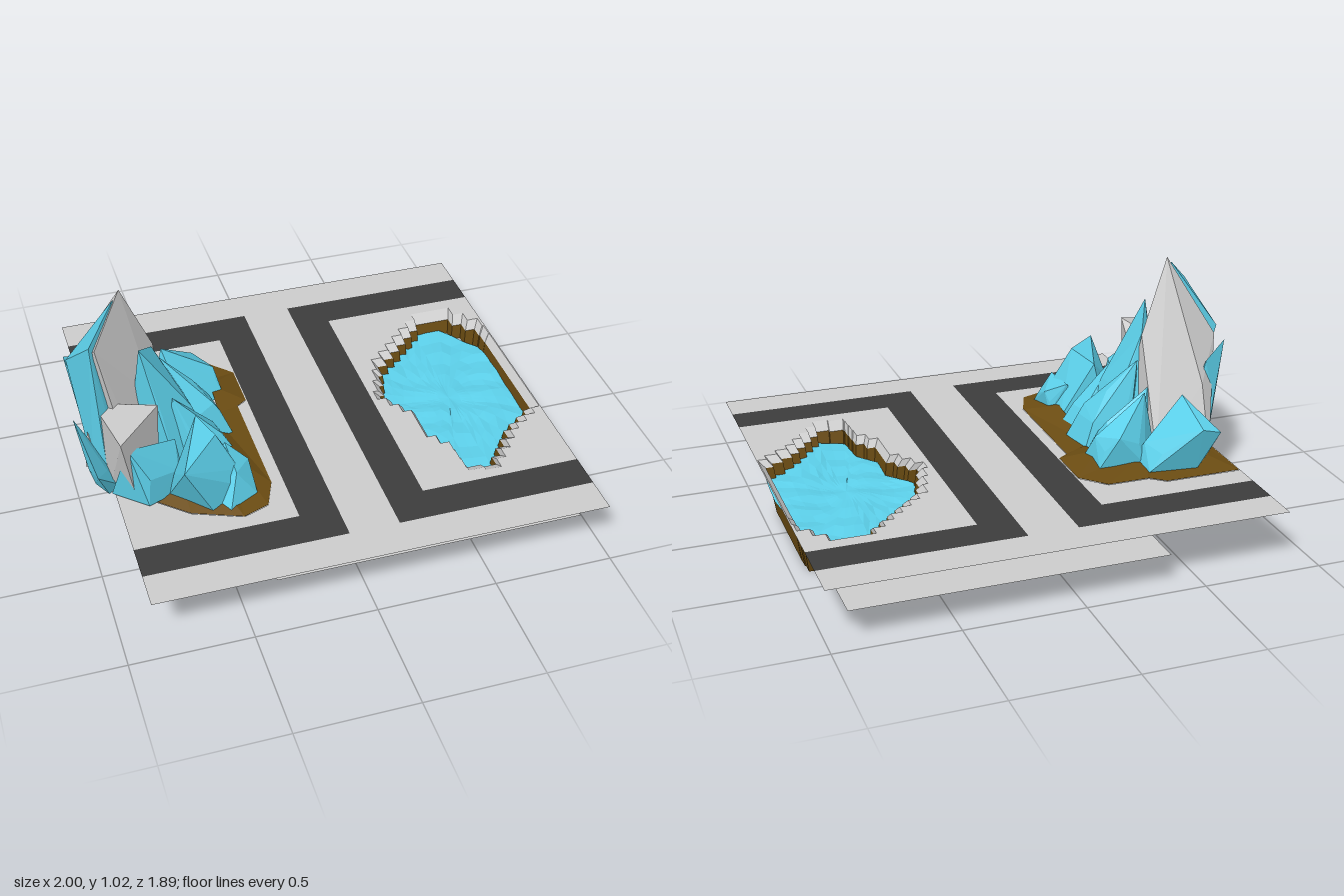
import * as THREE from 'three';
import { ConvexGeometry } from 'three/addons/geometries/ConvexGeometry.js';

const GROUND = 0.23;
const mat = (color) => new THREE.MeshStandardMaterial({ color, flatShading: true, side: THREE.DoubleSide });
const grey = mat(0xcccccc), dark = mat(0x3c3c3c), blue = mat(0x5cd0ea), brown = mat(0x6b4c12);

function add(group, name, geometry, material) {
  const mesh = new THREE.Mesh(geometry, material);
  mesh.name = name;
  group.add(mesh);
}

function namedGroup(name) {
  const g = new THREE.Group();
  g.name = name;
  return g;
}

// Flat polygon of [x, z] points at height y, with an optional hole
function sheet(points, y, hole) {
  const vec = (list) => list.map(([x, z]) => new THREE.Vector2(x, z));
  const shape = new THREE.Shape(vec(points));
  if (hole) shape.holes.push(new THREE.Path(vec(hole)));
  return new THREE.ShapeGeometry(shape).rotateX(Math.PI / 2).translate(0, y, 0);
}
const rect = (x0, x1, z0, z1) => [[x0, z0], [x1, z0], [x1, z1], [x0, z1]];

// Skin between closed rings of [x, y, z] points
function loft(rings) {
  const n = rings[0].length, index = [];
  for (let r = 0; r < rings.length - 1; r++) {
    for (let i = 0; i < n; i++) {
      const a = r * n + i, b = r * n + (i + 1) % n;
      index.push(a, b, a + n, b, b + n, a + n);
    }
  }
  const geo = new THREE.BufferGeometry();
  geo.setAttribute('position', new THREE.Float32BufferAttribute(rings.flat(2), 3));
  geo.setIndex(index);
  geo.computeVertexNormals();
  return geo;
}

const scaled = (points, [cx, cz], s) => points.map(([x, z]) => [cx + (x - cx) * s, cz + (z - cz) * s]);
const lift = (points, height) => points.map(([x, z]) => [x, height(x, z), z]);
const level = (y) => () => y;

// Split the edges into short pieces; optionally turn each piece into a stair step
function subdivide(points, step, stairs) {
  const out = [];
  points.forEach(([x, z], i) => {
    const [x2, z2] = points[(i + 1) % points.length];
    const n = Math.max(1, Math.round(Math.hypot(x2 - x, z2 - z) / step));
    for (let k = 0; k < n; k++) {
      const pz = z + (z2 - z) * k / n;
      out.push([x + (x2 - x) * k / n, pz]);
      if (stairs) out.push([x + (x2 - x) * (k + 1) / n, pz]);
    }
  });
  return out;
}

function buildGround(pondHole, rockHole) {
  const g = namedGroup('ground');
  const patch = (name, material, r, hole) => add(g, name, sheet(rect(...r), GROUND, hole), material);
  // pale margins and dark cross paths, mirrored front to back
  for (const s of [-1, 1]) {
    patch('margin', grey, [-0.885, 1, s * 0.943, s * 0.785]);
    patch('rockCrossPath', dark, [-0.885, -0.05, s * 0.785, s * 0.63]);
    patch('pondCrossPath', dark, [0.16, 1, s * 0.785, s * 0.63]);
  }
  patch('middleStrip', grey, [-0.05, 0.16, -0.785, 0.785]);
  patch('rockPath', dark, [-0.21, -0.05, -0.63, 0.63]);
  patch('pondPath', dark, [0.16, 0.315, -0.63, 0.63]);
  // plots inside the paths, opened for the rocks and the pond
  patch('rockPlot', grey, [-0.885, -0.21, -0.63, 0.63], rockHole);
  patch('pondPlot', grey, [0.315, 1, -0.63, 0.63], pondHole);
  add(g, 'lowerSheet', sheet(rect(-0.37, 0.92, -0.95, 0.86), 0.135), grey);
  return g;
}

function buildPond(shore, rim, centre) {
  const g = namedGroup('pond');
  const lip = scaled(rim, centre, 0.91), foot = scaled(rim, centre, 0.81);
  add(g, 'pondRim', loft([lift(rim, level(GROUND)), lift(lip, level(0.2))]), grey);
  add(g, 'pondWall', loft([lift(lip, level(0.2)), lift(foot, level(0))]), brown);
  add(g, 'pondFloor', sheet(foot, 0), grey);
  // gently rippled water
  const ripple = (x, z) => 0.153 + 0.005 * Math.sin(x * 23 + z * 9) + 0.004 * Math.sin(z * 41 - x * 13);
  const edge = subdivide(shore, 0.07, false);
  const rings = [];
  for (let k = 6; k >= 0; k--) rings.push(lift(scaled(edge, centre, k / 6), ripple));
  add(g, 'water', loft(rings), blue);
  return g;
}

// Faceted rock: hull of a five-sided foot, a shoulder leaning to the tips, and the tips
function rock(group, name, material, [x, z, rx, rz], ...tips) {
  const peaks = tips.map((t) => new THREE.Vector3(...t));
  const top = new THREE.Vector3();
  peaks.forEach((p) => top.addScaledVector(p, 1 / peaks.length));
  const points = [...peaks];
  for (let i = 0; i < 5; i++) {
    const a = 0.5 + i * Math.PI * 0.4, dx = rx * Math.cos(a), dz = rz * Math.sin(a);
    points.push(new THREE.Vector3(x + dx, GROUND + 0.01, z + dz));
    const shoulder = new THREE.Vector3(x, GROUND, z).lerp(top, 0.45);
    points.push(shoulder.add(new THREE.Vector3(dx * 0.75, 0.02 * (i % 2), dz * 0.75)));
  }
  add(group, name, new ConvexGeometry(points), material);
}

function buildRocks(skirt) {
  const g = namedGroup('rocks');
  // open earth skirt rising to the rocks
  const bumps = (x, z) => 0.265 + 0.02 * Math.sin(x * 31 + z * 27);
  add(g, 'earthSkirt', loft([lift(skirt, level(GROUND + 0.002)), lift(scaled(skirt, [-0.62, 0], 0.66), bumps)]), brown);
  // tall pale spire and the blue slab leaning on it
  rock(g, 'spire', grey, [-0.75, -0.1, 0.19, 0.26], [-0.76, 1.02, 0], [-0.9, 0.86, 0.16], [-0.96, 0.68, -0.08], [-0.63, 0.7, -0.05]);
  rock(g, 'spireSlab', blue, [-0.88, 0.1, 0.06, 0.08], [-0.79, 0.99, 0.02], [-0.92, 0.87, 0.15], [-0.99, 0.7, -0.04]);
  rock(g, 'lowShard', grey, [-0.9, 0.1, 0.05, 0.06], [-0.97, 0.25, 0.1], [-0.88, 0.21, 0.13], [-0.95, 0.42, 0.09]);
  // middle
  rock(g, 'centreRock', blue, [-0.58, 0.03, 0.17, 0.18], [-0.72, 0.8, 0.12], [-0.64, 0.7, -0.03]);
  rock(g, 'centreRidge', blue, [-0.47, -0.02, 0.16, 0.14], [-0.6, 0.6, -0.08], [-0.47, 0.47, -0.06], [-0.4, 0.39, 0.02]);
  rock(g, 'centreFoot', blue, [-0.48, 0.12, 0.15, 0.1], [-0.6, 0.55, 0.14], [-0.45, 0.37, 0.1]);
  rock(g, 'centreLink', blue, [-0.5, -0.17, 0.16, 0.09], [-0.62, 0.5, -0.15], [-0.43, 0.37, -0.16]);
  // front
  rock(g, 'frontRock', blue, [-0.5, 0.34, 0.18, 0.17], [-0.65, 0.49, 0.55], [-0.48, 0.51, 0.37], [-0.52, 0.49, 0.2]);
  rock(g, 'frontToe', blue, [-0.44, 0.4, 0.12, 0.13], [-0.42, 0.38, 0.27], [-0.34, 0.33, 0.34], [-0.42, 0.37, 0.46]);
  rock(g, 'paleHump', grey, [-0.79, 0.21, 0.1, 0.15], [-0.87, 0.59, 0.43], [-0.69, 0.655, 0.3], [-0.91, 0.52, 0.04], [-0.68, 0.58, 0.2]);
  rock(g, 'humpFoot', blue, [-0.74, 0.27, 0.16, 0.14], [-0.84, 0.53, 0.39], [-0.63, 0.47, 0.3]);
  rock(g, 'leftShard', blue, [-0.9, 0.2, 0.05, 0.09], [-1, 0.48, 0.07], [-0.96, 0.4, 0.37]);
  // back
  rock(g, 'backLeftShard', blue, [-0.86, -0.13, 0.07, 0.08], [-0.99, 0.66, -0.12], [-0.87, 0.6, -0.19]);
  rock(g, 'backRock', blue, [-0.64, -0.36, 0.18, 0.11], [-0.78, 0.42, -0.53], [-0.7, 0.44, -0.53], [-0.72, 0.5, -0.28], [-0.52, 0.34, -0.35]);
  rock(g, 'backRightRock', blue, [-0.45, -0.26, 0.17, 0.11], [-0.56, 0.52, -0.25], [-0.4, 0.38, -0.37], [-0.33, 0.36, -0.27]);
  return g;
}

export function createModel() {
  const model = namedGroup('courtyard');
  // pond shoreline, and the stepped rim around it
  const shore = [[0.38, -0.05], [0.44, -0.25], [0.7, -0.5], [0.82, -0.5], [0.95, -0.34], [0.98, 0], [0.97, 0.22],
    [0.83, 0.32], [0.68, 0.51], [0.56, 0.48], [0.55, 0.32], [0.48, 0.22], [0.48, 0.1]];
  const centre = [0.68, -0.01];
  const rim = subdivide(scaled(shore, centre, 1.14), 0.07, true).map(([x, z]) => [Math.min(x, 0.995), z]);
  // outline of the earth around the rocks
  const skirt = [[-0.88, -0.52], [-0.55, -0.52], [-0.49, -0.47], [-0.31, -0.47], [-0.215, -0.37], [-0.215, -0.16],
    [-0.26, -0.13], [-0.26, 0.4], [-0.31, 0.53], [-0.42, 0.57], [-0.62, 0.49], [-0.88, 0.25]];
  model.add(buildGround(rim, skirt), buildPond(shore, rim, centre), buildRocks(skirt));
  return model;
}
